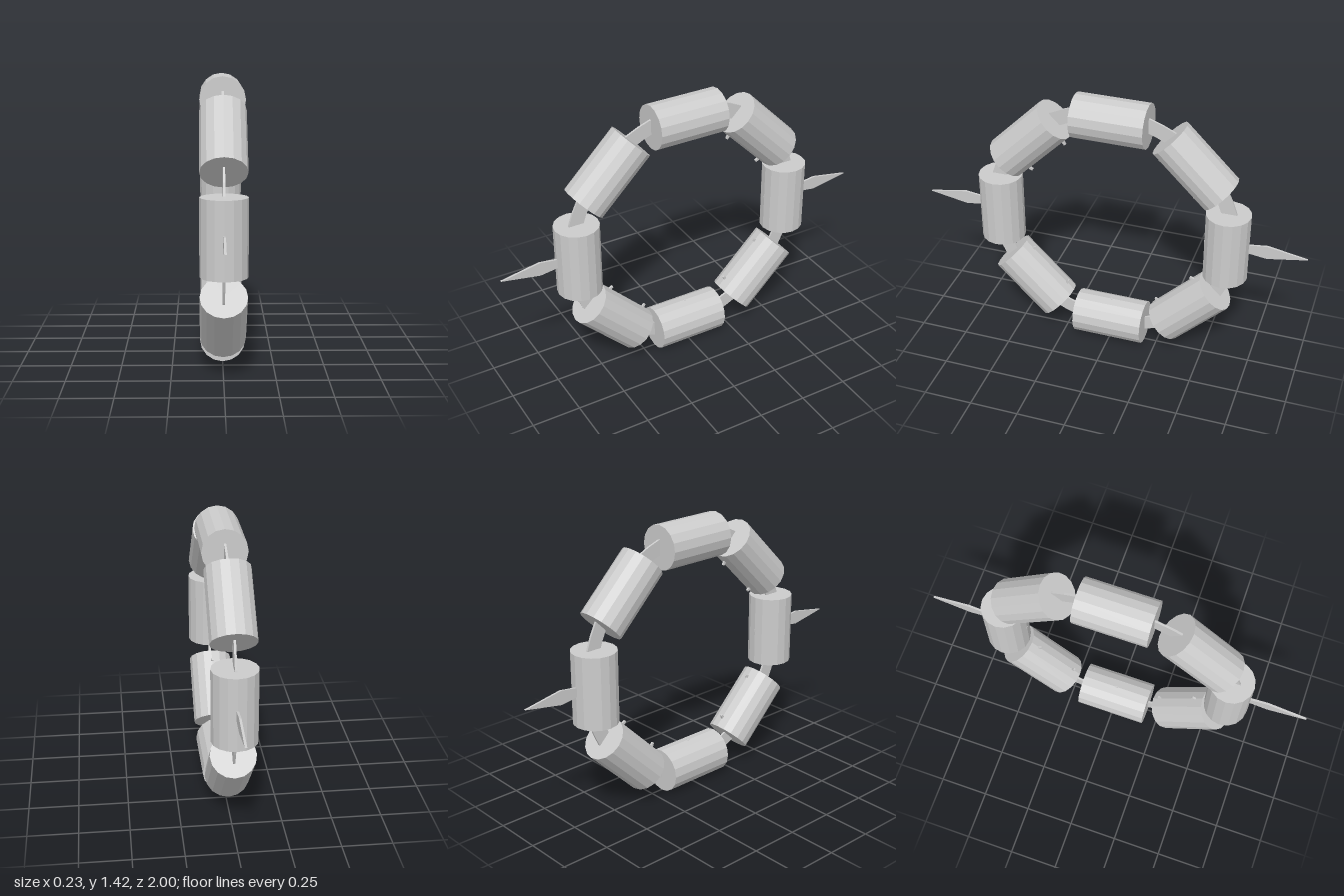
import * as THREE from 'three';

const CENTER_Y = 0.71, THICK = 0.011;

export function createModel() {
  const model = new THREE.Group();
  model.name = 'bladedRing';
  const material = new THREE.MeshStandardMaterial({ color: 0xcccccc, flatShading: true });

  // The wheel is laid out in its own XY plane, then turned to face sideways.
  const wheel = new THREE.Group();
  wheel.name = 'wheel';
  wheel.position.y = CENTER_Y;
  wheel.rotation.y = -Math.PI / 2;
  model.add(wheel);

  // Thin plate cut from a shape, centred on the wheel plane
  const plate = (shape) => {
    const geometry = new THREE.ExtrudeGeometry(shape, { depth: THICK, bevelEnabled: false, curveSegments: 32 });
    return geometry.translate(0, 0, -THICK / 2);
  };
  const polygon = (points) => new THREE.Shape(points.map(([x, y]) => new THREE.Vector2(x, y)));
  const add = (name, geometry, angle = 0) => {
    const mesh = new THREE.Mesh(geometry, material);
    mesh.name = name;
    mesh.rotation.z = angle;
    wheel.add(mesh);
  };

  // Flat core ring
  const ring = new THREE.Shape().absarc(0, 0, 0.665, 0, Math.PI * 2, false);
  ring.holes.push(new THREE.Path().absarc(0, 0, 0.59, 0, Math.PI * 2, true));
  add('coreRing', plate(ring));

  // Eight drums threaded on the ring
  const drum = new THREE.CylinderGeometry(0.113, 0.113, 0.37, 16).translate(0.597, 0, 0);
  for (let i = 0; i < 8; i++) add('drum', drum, i * Math.PI / 4);

  // Twelve small inward teeth whose tips just break through the drums
  const tooth = plate(polygon([[0.6, -0.02], [0.6, 0.02], [0.483, 0.005], [0.483, -0.005]]));
  for (let i = 0; i < 12; i++) add('innerTooth', tooth, i * Math.PI / 6);

  // Two outer diamond blades, front and back
  const blade = plate(polygon([[0.62, -0.012], [0.8, -0.036], [1, 0], [0.8, 0.036], [0.62, 0.012]]));
  for (let i = 0; i < 2; i++) add('blade', blade, i * Math.PI);

  return model;
}
